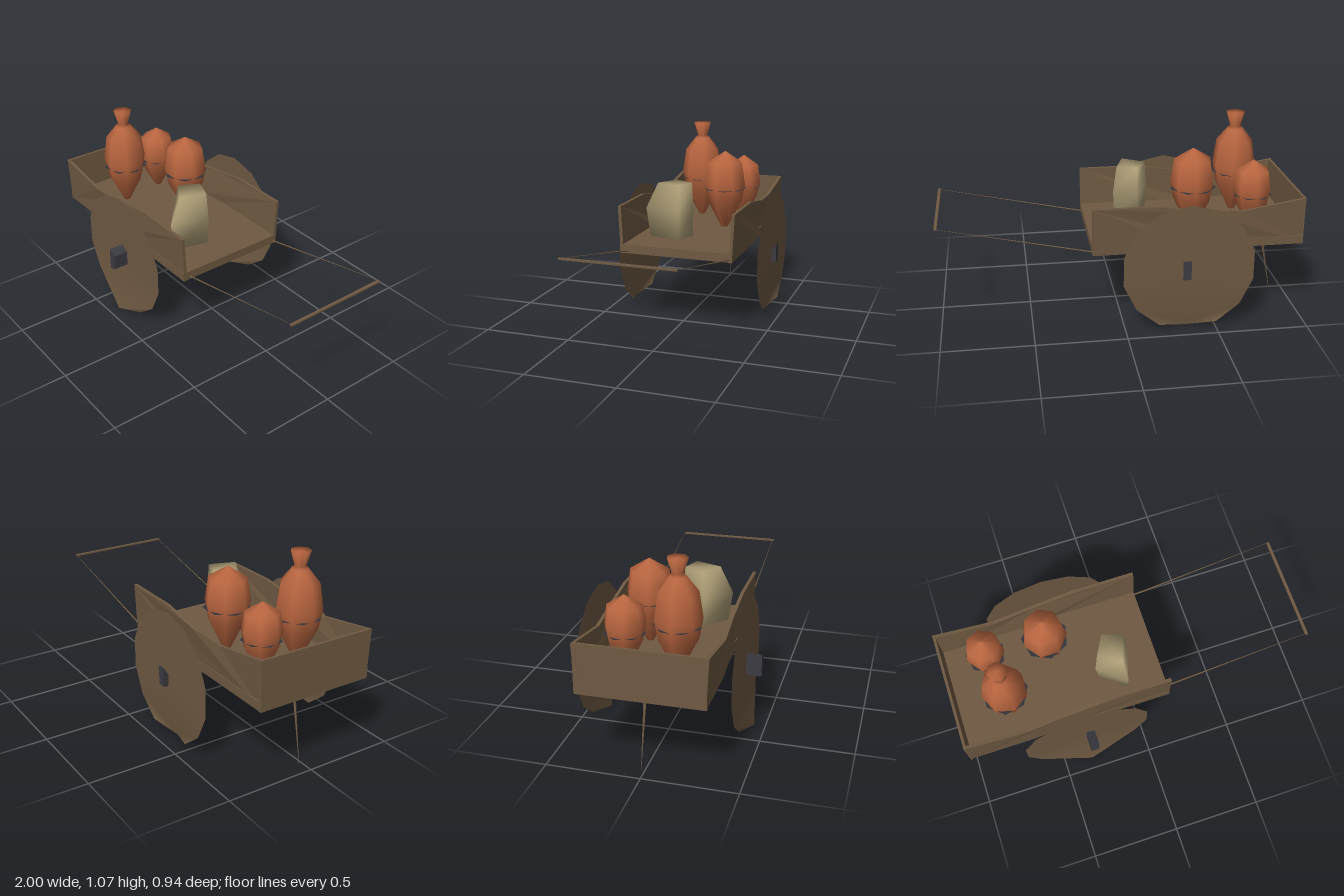
import * as THREE from 'three';

const mat = (name, color, side = THREE.DoubleSide) => {
  const m = new THREE.MeshStandardMaterial({ color, side });
  m.name = name;
  return m;
};

// Geometry from rows of [x, y, z] points and a triangle index
function fromPoints(points, index) {
  const g = new THREE.BufferGeometry();
  g.setAttribute('position', new THREE.Float32BufferAttribute(points.flat(), 3));
  g.setIndex(index);
  g.computeVertexNormals();
  return g;
}

export function createModel() {
  const wood = mat('brown wood', 0x6f5a42);
  const clay = mat('terracotta', 0xb8653f);
  const cloth = mat('sackcloth', 0xb0a078);
  const iron = mat('dark iron', 0x3b3b43);
  const cord = mat('dark cord', 0x33333a, THREE.FrontSide);

  const group = new THREE.Group();
  const add = (name, geo, material, x = 0, y = 0, z = 0) => {
    const mesh = new THREE.Mesh(geo, material);
    mesh.name = name;
    mesh.position.set(x, y, z);
    group.add(mesh);
    return mesh;
  };

  // Thin tapering pole between two points
  const pole = (name, a, b, r0, r1) => {
    const from = new THREE.Vector3(...a), to = new THREE.Vector3(...b);
    const dir = to.clone().sub(from);
    const mesh = add(name, new THREE.CylinderGeometry(r1, r0, dir.length(), 4).toNonIndexed(), wood);
    mesh.geometry.computeVertexNormals();
    mesh.position.copy(from).add(to).multiplyScalar(0.5);
    mesh.quaternion.setFromUnitVectors(new THREE.Vector3(0, 1, 0), dir.normalize());
  };

  // Cart bed, open at the handle end
  add('floor', new THREE.BoxGeometry(1.17, 0.05, 0.65), wood, -0.415, 0.457, -0.003);
  add('endWall', new THREE.BoxGeometry(0.015, 0.27, 0.665), wood, -0.992, 0.565, 0.004);

  // Side walls with a dipped top edge, a slight kink and a slight outward lean
  const outline = [[-1, 0.43], [-0.62, 0.43], [-0.42, 0.43], [0.17, 0.43],
    [0.17, 0.7], [-0.18, 0.7], [-0.42, 0.66], [-0.66, 0.645], [-1, 0.7]];
  for (const s of [1, -1]) {
    const geo = new THREE.ExtrudeGeometry(
      new THREE.Shape(outline.map((p) => new THREE.Vector2(...p))), { depth: 0.018, bevelEnabled: false });
    const p = geo.attributes.position;
    for (let i = 0; i < p.count; i++) {
      const kink = p.getX(i) > -0.5 ? -0.009 : 0.007;
      const lean = p.getY(i) < 0.5 ? -0.014 : 0;
      p.setZ(i, p.getZ(i) - 0.009 + s * (0.33 + lean) + kink);
    }
    geo.computeVertexNormals();
    add(s > 0 ? 'leftWall' : 'rightWall', geo, wood);
  }

  // Wheels: flat sheets with the lowest corner bent towards +z
  const N = 14, R = 0.365;
  const points = Array.from({ length: N }, (_, i) => {
    const a = (i / N) * Math.PI * 2;
    return [Math.sin(a) * R, Math.cos(a) * R, i === 7 ? 0.052 : 0];
  });
  points.push([0, 0, 0]);
  const index = [N, 9, 5, 7, 6, 5, 7, 5, 9, 9, 8, 7];
  for (let i = 0; i < N; i++) {
    if (i < 5 || i > 8) index.push(N, (i + 1) % N, i);
  }
  const wheelGeo = fromPoints(points, index);
  add('leftWheel', wheelGeo, wood, -0.34, 0.37, 0.387);
  add('rightWheel', wheelGeo, wood, -0.34, 0.37, -0.438);

  // Axle ends: a half hub on the left, a wedge on the right
  const hubShape = new THREE.Shape([[-0.345, 0.305], [-0.3, 0.32], [-0.295, 0.41], [-0.345, 0.435]]
    .map((p) => new THREE.Vector2(...p)));
  add('leftHub', new THREE.ExtrudeGeometry(hubShape, { depth: 0.085, bevelEnabled: false }), iron, 0, 0, 0.386);
  const wedge = fromPoints([[-0.345, 0.43, -0.47], [-0.3, 0.43, -0.47], [-0.3, 0.32, -0.47],
    [-0.345, 0.32, -0.47], [-0.335, 0.305, -0.386]],
  [0, 1, 2, 0, 2, 3, 1, 0, 4, 2, 1, 4, 3, 2, 4, 0, 3, 4]).toNonIndexed();
  wedge.computeVertexNormals();
  add('rightHub', wedge, iron);

  // Pull handles, crossbar and prop leg
  pole('leftHandle', [0.16, 0.445, 0.275], [0.98, 0.622, 0.28], 0.005, 0.001);
  pole('rightHandle', [0.16, 0.445, -0.317], [0.98, 0.622, -0.312], 0.005, 0.001);
  add('crossbar', new THREE.BoxGeometry(0.016, 0.009, 0.6), wood, 0.989, 0.622, -0.012);
  pole('propLeg', [-0.845, 0.44, -0.012], [-0.926, 0.004, -0.019], 0.01, 0.001);

  // Clay jars, each with a flat dark cord ring around the belly
  const jar = (name, profile, x, z, turn, cordY, cordR) => {
    const pts = profile.map(([r, y]) => new THREE.Vector2(r, y));
    add(name, new THREE.LatheGeometry(pts, 7), clay, x, 0, z).rotation.y = turn;
    const ring = new THREE.RingGeometry(cordR * 0.75, cordR, 7).rotateX(-Math.PI / 2);
    add(name + 'Cord', ring, cord, x, cordY, z).rotation.y = turn + Math.PI / 2;
  };
  jar('tallJar', [[0, 0.485], [0.02, 0.485], [0.105, 0.65], [0.125, 0.76], [0.104, 0.9],
    [0.045, 0.975], [0.03, 0.99], [0.054, 1.07], [0, 1.065]], -0.705, 0.115, 0.2, 0.72, 0.126);
  jar('middleJar', [[0, 0.485], [0.02, 0.485], [0.105, 0.65], [0.124, 0.75], [0.104, 0.88],
    [0, 0.945]], -0.413, -0.12, 0.45, 0.72, 0.13);
  jar('smallJar', [[0, 0.485], [0.02, 0.485], [0.09, 0.62], [0.107, 0.71], [0.092, 0.81],
    [0, 0.87]], -0.748, -0.145, 0.45, 0.67, 0.108);

  // Grain sack from three four-cornered loops
  const loops = [
    [0.485, [[-0.12, -0.015], [0, 0.03], [-0.05, 0.22], [-0.18, 0.11]]],
    [0.65, [[-0.12, -0.018], [0.01, 0.03], [-0.05, 0.245], [-0.2, 0.12]]],
    [0.8, [[-0.12, -0.01], [-0.01, 0.03], [-0.06, 0.175], [-0.18, 0.1]]],
  ];
  const sackPoints = loops.flatMap(([y, c]) => c.map(([x, z]) => [x, y, z]));
  const sackIndex = [8, 10, 9, 8, 11, 10, 0, 1, 2, 0, 2, 3];
  for (let k = 0; k < 2; k++) {
    for (let i = 0; i < 4; i++) {
      const a = k * 4 + i, b = k * 4 + (i + 1) % 4;
      sackIndex.push(a, a + 4, b, b, a + 4, b + 4);
    }
  }
  add('sack', fromPoints(sackPoints, sackIndex), cloth);

  return group;
}
